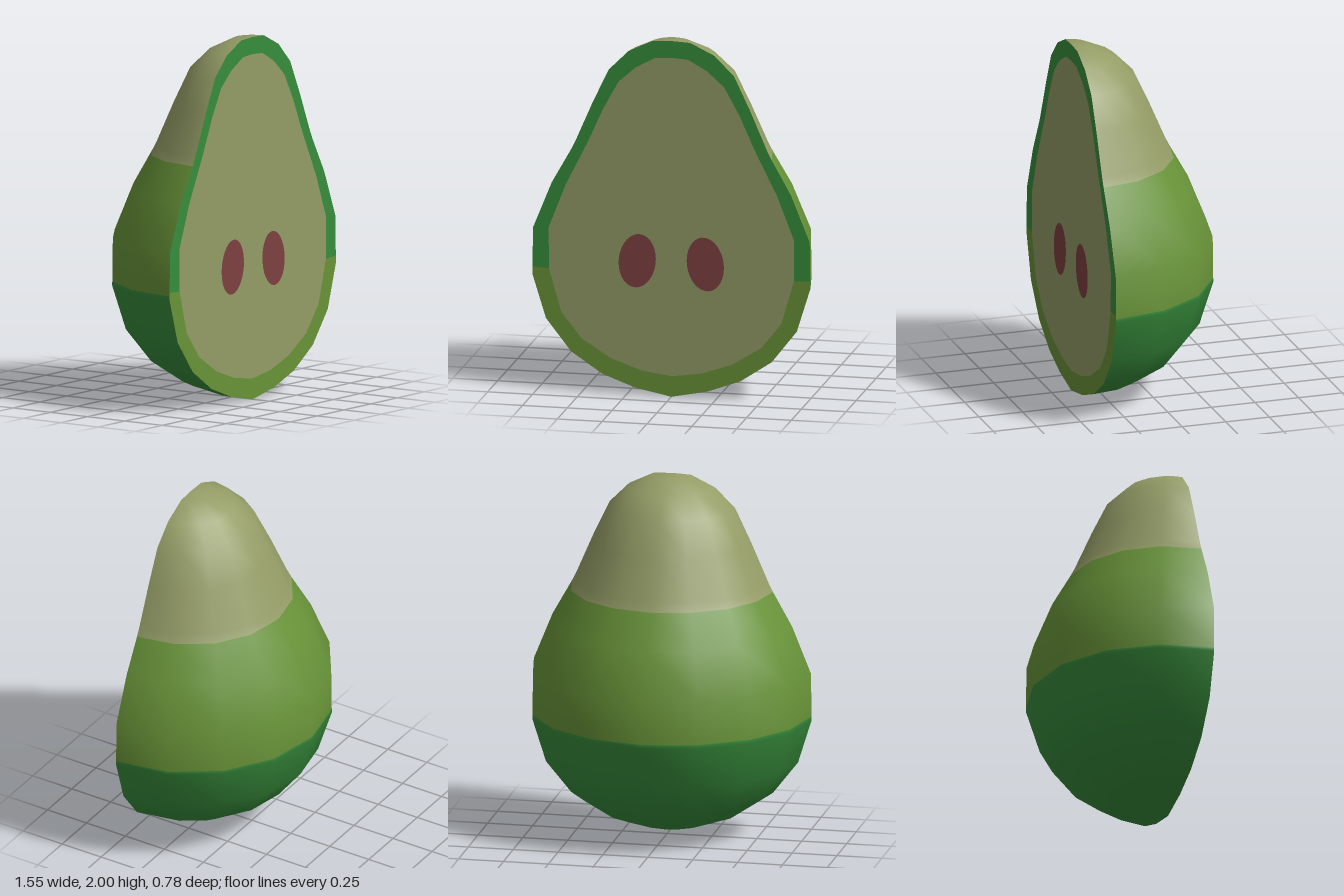
import * as THREE from 'three';

const mat = (name, color) => Object.assign(new THREE.MeshStandardMaterial({ color }), { name });

export function createModel() {
  const flesh = mat('olive flesh', 0x949c66);
  const light = mat('light green', 0x689338);
  const dark = mat('deep green', 0x388e3c);
  const seedRed = mat('seed red', 0x7e4040);
  const group = new THREE.Group();
  group.name = 'halvedFruit';
  const front = 0.388;

  const add = (name, geometry, material) => {
    const mesh = new THREE.Mesh(geometry, material);
    mesh.name = name;
    group.add(mesh);
    return mesh;
  };

  // Half profiles from bottom to top; the colours change at y = 0.67 and 1.36
  const lower = [[0, 0], [0.2, 0.04], [0.385, 0.108], [0.56, 0.225], [0.7, 0.405], [0.776, 0.65], [0.775, 0.67]];
  const middle = [[0.772, 0.91], [0.667, 1.17], [0.56, 1.36]];
  const upper = [[0.535, 1.41], [0.44, 1.63], [0.35, 1.82], [0.24, 1.93], [0.105, 1.995], [0, 2]];
  const outer = [...lower, ...middle, ...upper];
  const innerLower = [[0, 0.115], [0.17, 0.14], [0.34, 0.2], [0.5, 0.3], [0.615, 0.445], [0.683, 0.685]];
  const innerUpper = [[0.685, 0.915], [0.59, 1.16], [0.465, 1.41], [0.38, 1.6], [0.295, 1.755], [0.2, 1.84], [0.09, 1.9], [0, 1.905]];
  const inner = [...innerLower, ...innerUpper];

  // Rounded skin: half a lathe, one material per height band
  const skin = new THREE.LatheGeometry(outer.map(p => new THREE.Vector2(...p)), 8, Math.PI / 2, Math.PI);
  const bands = [lower.length - 1, middle.length, upper.length];
  let start = 0;
  for (let i = 0; i < 8; i++) {
    bands.forEach((n, k) => {
      skin.addGroup(start, n * 6, k);
      start += n * 6;
    });
  }
  add('skin', skin, [dark, light, flesh]).position.z = front;

  // Flat cut face made from mirrored outlines
  const flat = points => new THREE.ShapeGeometry(new THREE.Shape(points.map(p => new THREE.Vector2(...p))));
  const mirror = points => points.map(([x, y]) => [-x, y]).reverse();
  add('cutFace', flat([...inner, ...mirror(inner).slice(1, -1)]), flesh).position.z = front;

  // Rim around the cut, split into a lower and an upper part
  const split = [0.775, 0.69];
  const lowOuter = [...lower.slice(0, -1), split];
  const highOuter = [split, ...middle, ...upper];
  const highInner = [innerLower.at(-1), ...innerUpper];
  const rims = [['lowerRim', lowOuter, innerLower, light], ['upperRim', highOuter, highInner, dark]];
  for (const [name, out, inn, material] of rims) {
    const half = [...out, ...[...inn].reverse()];
    add(name + 'Left', flat(half), material).position.z = front;
    add(name + 'Right', flat(mirror(half)), material).position.z = front;
  }

  // Two tilted oval seeds
  for (const side of [1, -1]) {
    const seed = add(side > 0 ? 'leftSeed' : 'rightSeed', new THREE.CircleGeometry(1, 32), seedRed);
    seed.scale.set(0.103, 0.151, 1);
    seed.rotation.z = side * 0.13;
    seed.position.set(side * 0.19, 0.755, front + 0.003);
  }
  return group;
}
